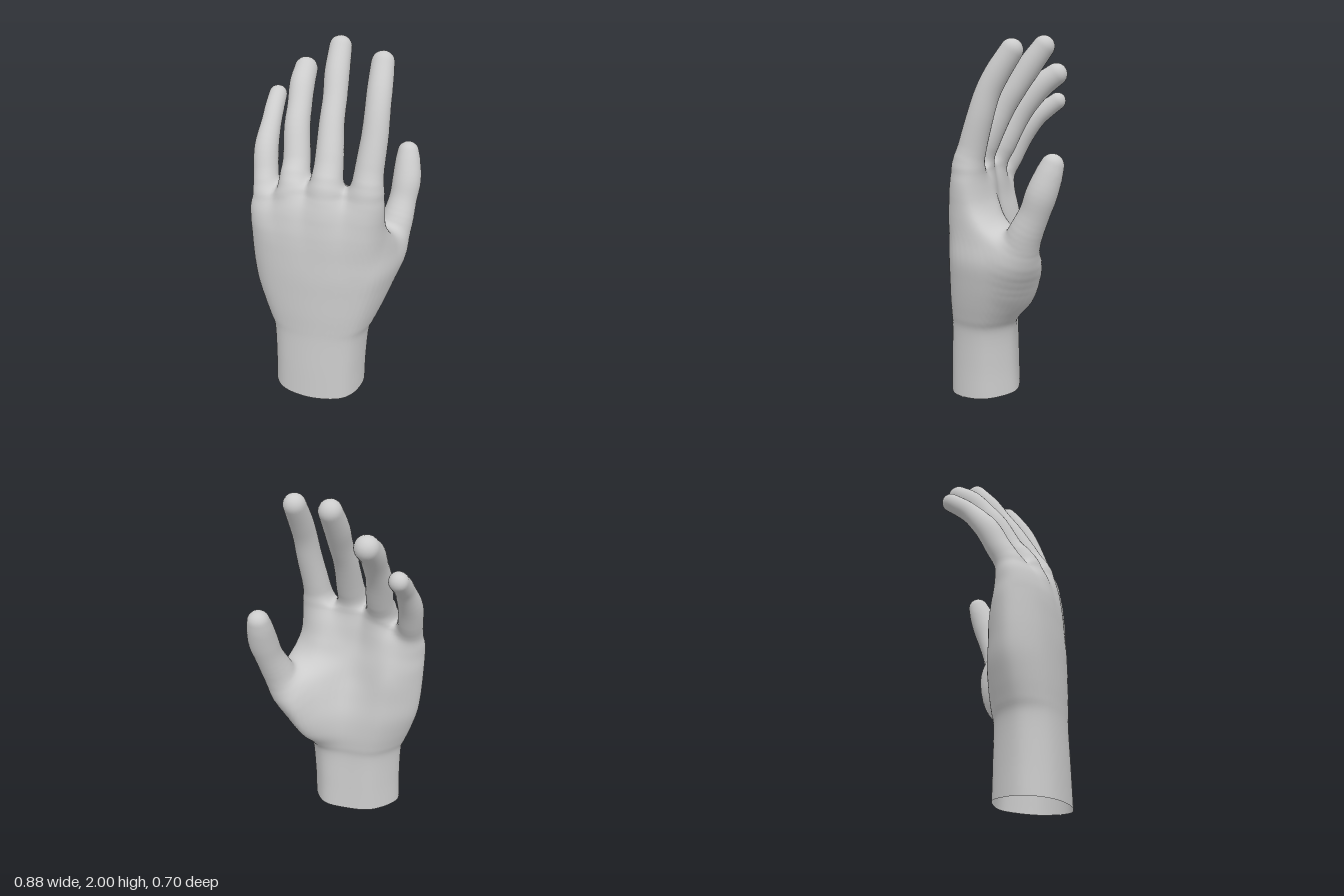
import * as THREE from 'three';

const { lerp, smoothstep, clamp } = THREE.MathUtils;
const V = (x, y, z) => new THREE.Vector3(x, y, z);

// Palm levels: y, little-finger side x z, thumb side x z, back z, then palm z at thumb pad, middle, outer pad.
const palmLevels = [
  [0.00, -0.31, 0.17, 0.218, 0.115, 0.35, -0.04, -0.045, 0.01],
  [0.20, -0.305, 0.17, 0.222, 0.115, 0.345, -0.03, -0.037, 0.01],
  [0.40, -0.31, 0.165, 0.237, 0.11, 0.338, -0.03, -0.03, 0.01],
  [0.48, -0.335, 0.16, 0.268, 0.09, 0.338, -0.065, -0.042, 0.00],
  [0.58, -0.37, 0.15, 0.31, 0.05, 0.34, -0.15, -0.055, -0.01],
  [0.70, -0.405, 0.14, 0.355, 0.00, 0.34, -0.2, -0.05, -0.015],
  [0.82, -0.42, 0.14, 0.388, -0.04, 0.34, -0.21, -0.02, -0.01],
  [0.93, -0.425, 0.14, 0.37, 0.00, 0.335, -0.135, 0.02, -0.005],
  [1.03, -0.425, 0.14, 0.335, 0.10, 0.328, -0.01, 0.05, 0.01],
  [1.12, -0.42, 0.15, 0.31, 0.15, 0.313, 0.04, 0.075, 0.03],
  [1.22, -0.408, 0.15, 0.293, 0.17, 0.28, 0.08, 0.095, 0.06],
  [1.29, -0.37, 0.15, 0.265, 0.17, 0.225, 0.12, 0.12, 0.10],
];
const palmTop = 1.29;

// Digit joints: x, y, z, radius, from the root inside the palm to the tip.
const digits = {
  indexFinger: [
    [0.16, 0.88, 0.195, 0.045], [0.212, 1.26, 0.192, 0.083], [0.222, 1.42, 0.157, 0.076], [0.235, 1.58, 0.11, 0.07],
    [0.237, 1.7, 0.07, 0.066], [0.235, 1.8, 0.018, 0.065], [0.232, 1.91, -0.055, 0.06]],
  middleFinger: [
    [-0.01, 0.88, 0.215, 0.045], [0.003, 1.26, 0.208, 0.083], [0.008, 1.42, 0.145, 0.077], [-0.002, 1.6, 0.055, 0.067],
    [-0.004, 1.72, -0.02, 0.064], [-0.012, 1.83, -0.092, 0.066], [-0.015, 1.94, -0.175, 0.06]],
  ringFinger: [
    [-0.14, 0.88, 0.2, 0.045], [-0.175, 1.25, 0.172, 0.08], [-0.182, 1.4, 0.09, 0.074], [-0.2, 1.55, 0.015, 0.07],
    [-0.205, 1.65, -0.055, 0.066], [-0.213, 1.74, -0.133, 0.068], [-0.215, 1.8, -0.213, 0.063]],
  littleFinger: [
    [-0.29, 0.85, 0.16, 0.04], [-0.339, 1.18, 0.135, 0.068], [-0.362, 1.32, 0.075, 0.068], [-0.373, 1.43, 0.02, 0.066],
    [-0.37, 1.54, -0.065, 0.055], [-0.372, 1.6, -0.13, 0.053], [-0.373, 1.65, -0.197, 0.05]],
  thumb: [
    [0.22, 0.7, -0.03, 0.07], [0.29, 0.87, -0.1, 0.102], [0.325, 0.98, -0.142, 0.092], [0.346, 1.1, -0.197, 0.079],
    [0.356, 1.2, -0.233, 0.081], [0.352, 1.29, -0.266, 0.072], [0.348, 1.348, -0.286, 0.06]],
};

// Signed distance from (x, z) to a closed outline stored as x, z pairs.
function outlineDistance(pts, x, z) {
  let best = Infinity, inside = false;
  for (let i = 0, j = pts.length - 2; i < pts.length; j = i, i += 2) {
    const ex = pts[j] - pts[i], ez = pts[j + 1] - pts[i + 1], wx = x - pts[i], wz = z - pts[i + 1];
    const t = clamp((wx * ex + wz * ez) / (ex * ex + ez * ez), 0, 1);
    best = Math.min(best, (wx - t * ex) ** 2 + (wz - t * ez) ** 2);
    if ((pts[i + 1] > z) !== (pts[j + 1] > z) && wx < ex * wz / ez) inside = !inside;
  }
  return Math.sqrt(best) * (inside ? -1 : 1);
}

// Palm and wrist: a stack of rounded outlines, with the knuckle line falling toward the little finger.
function palmField() {
  const outlines = palmLevels.map(([y, xl, zl, xt, zt, zb, z1, z2, z3]) => {
    const at = (f, z) => V(lerp(xl, xt, f), y, z);
    return [at(1, zt), at(0.8, z1), at(0.5, z2), at(0.2, z3),
      at(0, zl), at(0.13, lerp(zl, zb, 0.75)), at(0.5, zb), at(0.87, lerp(zt, zb, 0.77))];
  });
  const columns = outlines[0].map((_, c) => new THREE.CatmullRomCurve3(outlines.map((o) => o[c]), false, 'catmullrom'));
  const slices = Array.from({ length: 56 }, (_, i) => {
    const ring = new THREE.CatmullRomCurve3(columns.map((c) => c.getPoint(i / 55)), true, 'catmullrom');
    return { y: ring.points[0].y, pts: ring.getPoints(64).slice(0, 64).flatMap((p) => [p.x, p.z]) };
  });
  return (x, y, z) => {
    const level = y + 0.09 * smoothstep(-x, 0.1, 0.4) * smoothstep(y, 0.95, 1.25);
    const above = level - palmTop;
    if (above > 0.2) return above;
    const i = slices.findIndex((s) => s.y > level);
    const hi = i < 0 ? 55 : Math.max(i, 1), a = slices[hi - 1], b = slices[hi];
    const t = clamp((level - a.y) / (b.y - a.y), 0, 1);
    const d = lerp(outlineDistance(a.pts, x, z), outlineDistance(b.pts, x, z), t);
    return Math.min(Math.max(d, above), 0) + Math.hypot(Math.max(d, 0), Math.max(above, 0));
  };
}

// Digit: round tapered segments along a smooth curve through its joints.
function digitField(joints) {
  const path = new THREE.CatmullRomCurve3(joints.map(([x, y, z]) => V(x, y, z)), false, 'catmullrom');
  const girth = new THREE.CatmullRomCurve3(joints.map((p, i) => V(p[3], i, 0)), false, 'catmullrom');
  const pts = path.getPoints(24), radii = girth.getPoints(24).map((g) => g.x);
  return (x, y, z) => {
    let best = Infinity;
    for (let i = 0; i < 24; i++) {
      const a = pts[i], b = pts[i + 1], ex = b.x - a.x, ey = b.y - a.y, ez = b.z - a.z;
      const wx = x - a.x, wy = y - a.y, wz = z - a.z;
      const t = clamp((wx * ex + wy * ey + wz * ez) / (ex * ex + ey * ey + ez * ez), 0, 1);
      const gap = Math.sqrt((wx - t * ex) ** 2 + (wy - t * ey) ** 2 + (wz - t * ez) ** 2);
      best = Math.min(best, gap - lerp(radii[i], radii[i + 1], t));
    }
    return best;
  };
}

// Union with a fillet of width k.
function blend(a, b, k) {
  const h = Math.max(k - Math.abs(a - b), 0) / k;
  return Math.min(a, b) - h * h * k / 4;
}

const names = ['palmAndWrist', ...Object.keys(digits)];
const fields = [palmField(), ...Object.values(digits).map(digitField)];
const distances = (x, y, z) => fields.map((f) => f(x, y, z));

function handField(x, y, z) {
  const [palm, ...rest] = distances(x, y, z);
  return blend(palm, rest.reduce((a, b) => blend(a, b, 0.03)), 0.09);
}

function gradient(p, e = 0.014) {
  const slope = (x, y, z) => (handField(p.x + x, p.y + y, p.z + z) - handField(p.x - x, p.y - y, p.z - z)) / (2 * e);
  return V(slope(e, 0, 0), slope(0, e, 0), slope(0, 0, e));
}

// Skin the blended field on a grid: one vertex per crossed cell, one quad per crossed grid edge.
function skin() {
  const h = 0.015, size = [68, 138, 56], origin = [-0.5, -h / 2, -0.42];
  const stride = [1, size[0], size[0] * size[1]];
  const eachPoint = (visit) => {
    for (let k = 0, n = 0; k < size[2]; k++) {
      for (let j = 0; j < size[1]; j++) for (let i = 0; i < size[0]; i++) visit([i, j, k], n++);
    }
  };
  const values = new Float32Array(stride[2] * size[2]);
  eachPoint((g, n) => { values[n] = handField(...g.map((c, a) => origin[a] + c * h)); });

  const cellVertex = new Map(), positions = [], normals = [], owners = [];
  eachPoint((g, n) => {
    if (g.some((c, a) => c === size[a] - 1)) return;
    const sum = [0, 0, 0];
    let count = 0;
    for (let c = 0; c < 8; c++) {
      for (let a = 0; a < 3; a++) {
        if (c >> a & 1) continue;
        const bits = [c & 1, c >> 1 & 1, c >> 2 & 1];
        const from = n + bits[0] * stride[0] + bits[1] * stride[1] + bits[2] * stride[2];
        const f0 = values[from], f1 = values[from + stride[a]];
        if ((f0 < 0) === (f1 < 0)) continue;
        bits[a] = f0 / (f0 - f1);
        bits.forEach((b, axis) => { sum[axis] += b; });
        count++;
      }
    }
    if (!count) return;
    const p = V(...g.map((c, a) => origin[a] + (c + sum[a] / count) * h));
    const slope = gradient(p);
    p.addScaledVector(slope, -handField(p.x, p.y, p.z) / Math.max(slope.lengthSq(), 0.3));
    const near = distances(p.x, p.y, p.z);
    owners.push(near.indexOf(Math.min(...near)));
    // Slanted cut at the open wrist.
    p.y += 0.07 * (0.35 - p.z) * (1 - smoothstep(p.y, 0, 0.15));
    cellVertex.set(n, owners.length - 1);
    positions.push(p);
    normals.push(slope.normalize());
  });

  const faces = names.map(() => []);
  eachPoint((g, n) => {
    for (let a = 0; a < 3; a++) {
      const u = (a + 1) % 3, v = (a + 2) % 3;
      if (g[a] === size[a] - 1 || !g[u] || !g[v]) continue;
      const inside = values[n] < 0;
      if (inside === values[n + stride[a]] < 0) continue;
      const quad = [n, n - stride[u], n - stride[u] - stride[v], n - stride[v]].map((c) => cellVertex.get(c));
      const [p, q, r, s] = inside ? quad : quad.reverse();
      faces[owners[p]].push(p, q, r, p, r, s);
    }
  });
  return { positions, normals, faces };
}

export function createModel() {
  const hand = new THREE.Group();
  hand.name = 'hand';
  const material = new THREE.MeshStandardMaterial({ color: 0xcccccc, side: THREE.DoubleSide });
  const { positions, normals, faces } = skin();
  const shared = new THREE.BufferGeometry().setFromPoints(positions);
  shared.setAttribute('normal', new THREE.Float32BufferAttribute(normals.flatMap((n) => n.toArray()), 3));
  // Each part takes its own faces from the shared, seamless skin.
  names.forEach((name, i) => {
    const part = new THREE.Mesh(shared.clone().setIndex(faces[i]), material);
    part.name = name;
    hand.add(part);
  });
  return hand;
}
